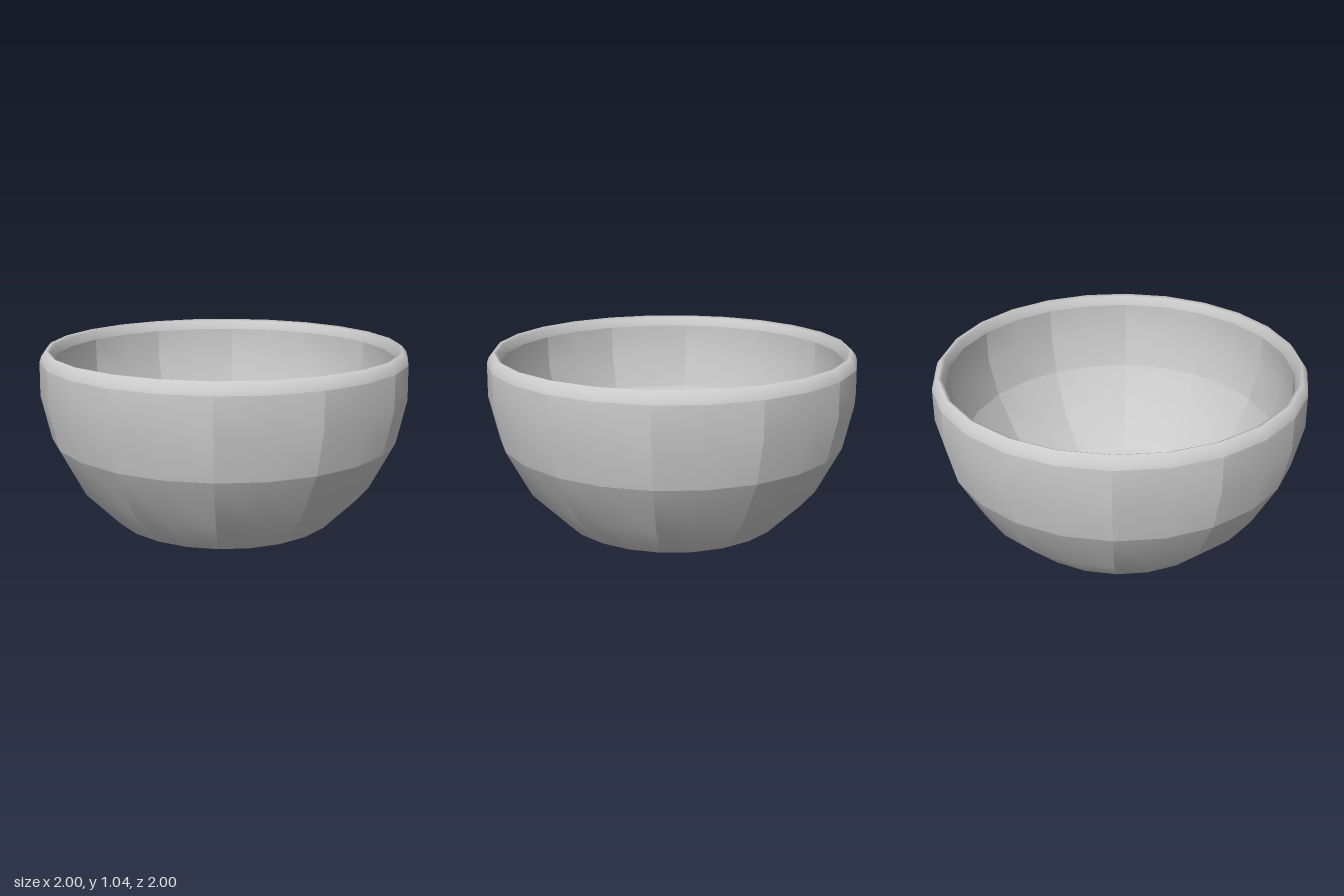
import * as THREE from 'three';
import { mergeGeometries } from 'three/addons/utils/BufferGeometryUtils.js';

const SIDES = 24;
const PANELS = 12;
const toPoints = (profile) => profile.map(([r, y]) => new THREE.Vector2(r, y));

// Ring that is smooth all the way round
const smoothRing = (profile) => new THREE.LatheGeometry(toPoints(profile), SIDES);

// Ring of separate panels, smooth inside each panel and creased between them
function panelRing(profile) {
  const step = (Math.PI * 2) / PANELS;
  const panels = [];
  for (let i = 0; i < PANELS; i++) {
    const panel = new THREE.LatheGeometry(toPoints(profile), SIDES / PANELS, i * step, step);
    panel.computeVertexNormals();
    panels.push(panel);
  }
  return mergeGeometries(panels);
}

export function createModel() {
  const bowl = new THREE.Group();
  bowl.name = 'bowl';
  const material = new THREE.MeshStandardMaterial({ color: 0xcccccc });

  const add = (name, geometry) => {
    const mesh = new THREE.Mesh(geometry, material);
    mesh.name = name;
    bowl.add(mesh);
  };

  // Profiles run as one loop: base, up the outside, over the rim, down the inside
  add('base', smoothRing([[0, 0], [0.42, 0.02], [0.63, 0.1]]));
  add('outerLowerWall', panelRing([[0.63, 0.1], [0.82, 0.3], [0.95, 0.56]]));
  add('outerUpperWall', panelRing([[0.95, 0.56], [1, 0.8], [0.995, 0.98]]));
  add('rim', smoothRing([[0.995, 0.98], [0.985, 1.01], [0.96, 1.04], [0.94, 1.03], [0.925, 0.98]]));
  add('innerUpperWall', panelRing([[0.925, 0.98], [0.925, 0.8], [0.87, 0.59]]));
  add('innerLowerWall', panelRing([[0.87, 0.59], [0.755, 0.35], [0.565, 0.15]]));
  add('floor', smoothRing([[0.565, 0.15], [0.38, 0.09], [0, 0.075]]));

  return bowl;
}
